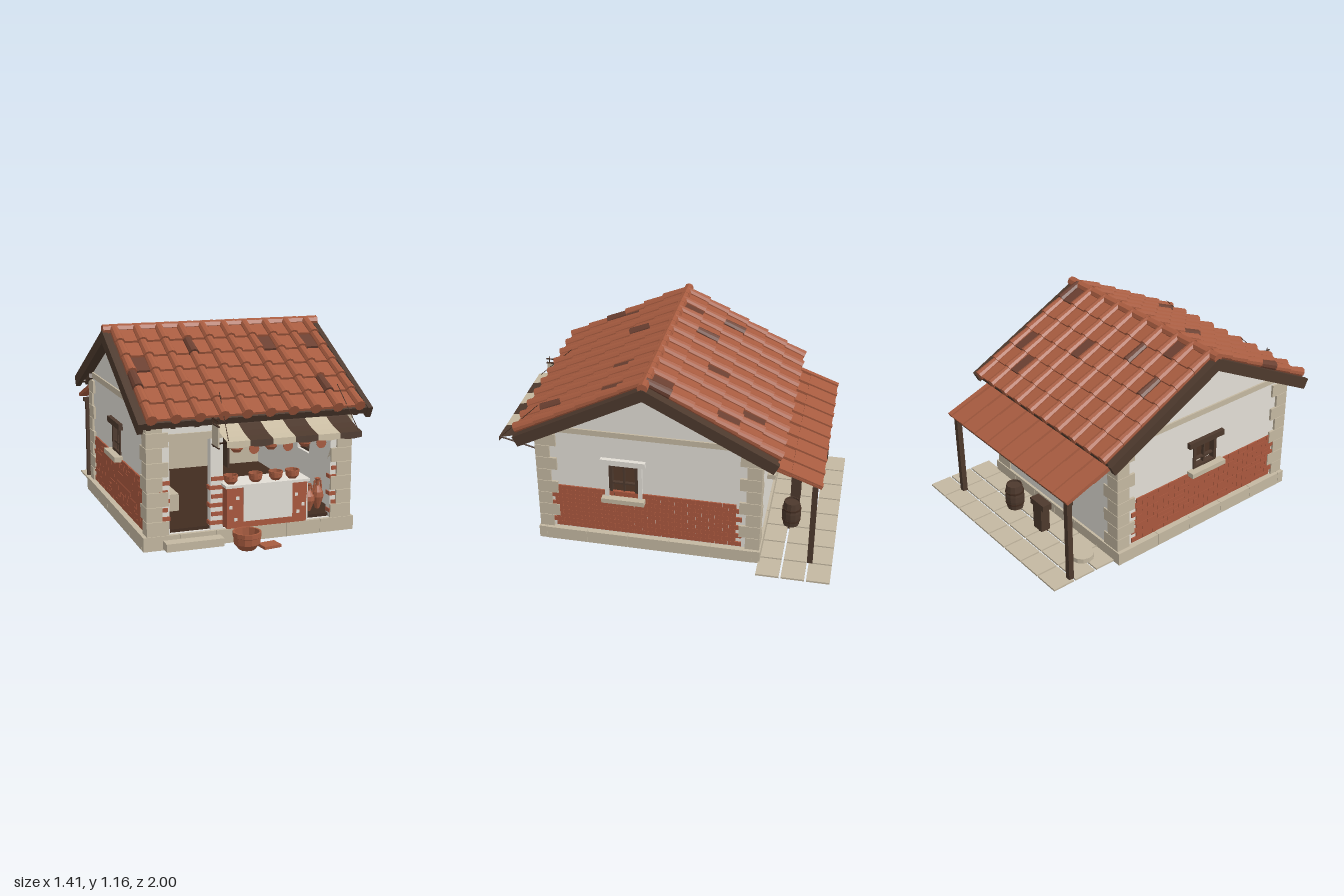
import * as THREE from 'three';

const mat = (name, color) => Object.assign(
  new THREE.MeshStandardMaterial({ color, flatShading: true, side: THREE.DoubleSide }), { name });
const M = {
  terracotta: mat('terracotta', 0xa85c40), burnt: mat('burntTile', 0x6b4031), brick: mat('brick', 0xaa583e),
  plaster: mat('plaster', 0xe2ded6), stone: mat('stone', 0xc4b8a1), wood: mat('darkWood', 0x4d392d),
  cream: mat('creamCloth', 0xcabda3), dark: mat('dark', 0x422c20),
};
const CX = -0.032, SLOPE = 0.4765;

export function createModel() {
  const root = new THREE.Group();
  root.name = 'shopHouse';
  const part = (name) => { const g = new THREE.Group(); g.name = name; root.add(g); return g; };
  const add = (g, name, geo, m, x = 0, y = 0, z = 0) => {
    const o = new THREE.Mesh(geo, m);
    o.name = name; o.position.set(x, y, z); g.add(o);
    return o;
  };
  // box given by its ranges
  const box = (g, name, m, x0, x1, y0, y1, z0, z1) => add(g, name,
    new THREE.BoxGeometry(x1 - x0, y1 - y0, z1 - z0), m, (x0 + x1) / 2, (y0 + y1) / 2, (z0 + z1) / 2);
  const rod = (g, name, m, a, b, r) => {
    const p = new THREE.Vector3(...a), d = new THREE.Vector3(...b).sub(p);
    const o = add(g, name, new THREE.CylinderGeometry(r, r, d.length(), 6), m);
    o.position.copy(p).addScaledVector(d, 0.5);
    o.quaternion.setFromUnitVectors(new THREE.Vector3(0, 1, 0), d.normalize());
  };
  const lathe = (g, name, m, pts, r, h, x, y, z) => add(g, name,
    new THREE.LatheGeometry(pts.map(([a, b]) => new THREE.Vector2(a * r, b * h)), 12), m, x, y, z);
  const BOWL = [[0, 0], [0.55, 0], [0.92, 0.35], [0.95, 0.72], [1, 0.75], [1, 1], [0.86, 1], [0.8, 0.4], [0, 0.2]];
  const bowl = (g, x, y, z, r, h, m = M.terracotta) => lathe(g, 'bowl', m, BOWL, r, h, x, y, z);
  // outline with rectangular holes [u0, u1, y0, y1]
  const panel = (pts, holes, depth) => {
    const s = new THREE.Shape(pts.map(p => new THREE.Vector2(...p)));
    for (const [a, b, c, d] of holes)
      s.holes.push(new THREE.Path([[a, c], [a, d], [b, d], [b, c]].map(p => new THREE.Vector2(...p))));
    return new THREE.ExtrudeGeometry(s, { depth, bevelEnabled: false });
  };

  // foundation: raised dark floor inside a ring of stone blocks
  const base = part('foundation');
  box(base, 'floor', M.dark, -0.615, 0.55, 0.07, 0.1, -0.535, 0.72);
  for (let i = 0; i < 6; i++) {
    const x = -0.66 + i * 0.2092;
    for (const [a, b] of [[0.715, 0.76], [-0.58, -0.535]]) box(base, 'block', M.stone, x, x + 0.207, 0, 0.08, a, b);
  }
  for (let i = 0; i < 5; i++) {
    const z = -0.535 + i * 0.25;
    for (const [a, b] of [[-0.66, -0.615], [0.55, 0.595]]) box(base, 'block', M.stone, a, b, 0, 0.08, z, z + 0.248);
  }
  box(base, 'doorStep', M.stone, -0.55, -0.22, 0.01, 0.055, 0.755, 0.83);

  // walls
  const walls = part('walls');
  const rect = [[-0.625, 0.075], [0.561, 0.075], [0.561, 0.75], [-0.625, 0.75]];
  const backWindow = [0.04, 0.19, 0.385, 0.53];
  add(walls, 'frontWall', panel(rect, [[-0.505, -0.27, 0.082, 0.6], [-0.197, 0.45, 0.082, 0.6]], 0.05), M.plaster, 0, 0, 0.69);
  add(walls, 'backWall', panel(rect, [backWindow], 0.05), M.plaster, 0, 0, -0.565);
  add(walls, 'backLining', panel([[-0.57, 0.09], [0.51, 0.09], [0.51, 0.74], [-0.57, 0.74]], [backWindow], 0.005), M.stone, 0, 0, -0.514);
  const gable = [[-0.74, 0.075], [0.565, 0.075], [0.565, 0.747], [-0.095, 1.085], [-0.74, 0.752]];
  for (const [name, x, hole] of [['leftWall', 0.511, [-0.32, -0.145, 0.35, 0.57]], ['rightWall', -0.625, [-0.18, 0, 0.4, 0.56]]])
    add(walls, name, panel(gable, [hole], 0.05), M.plaster, x).rotation.y = Math.PI / 2;
  box(walls, 'doorLintel', M.stone, -0.56, -0.265, 0.6, 0.64, 0.73, 0.75);
  box(walls, 'shopLintel', M.stone, -0.265, 0.5, 0.6, 0.645, 0.73, 0.75);

  // alternating corner stones, exposed brick and gable bands
  const quoins = part('cornerStones'), bricks = part('brickwork');
  for (const s of [-1, 1]) {
    for (const f of [-1, 1]) for (let i = 0; i < 8; i++) {
      const lx = i % 2 ? 0.09 : 0.125, lz = i % 2 ? 0.125 : 0.085;
      const x = CX + s * 0.607, z = f > 0 ? 0.755 : -0.573, y = 0.08 + i * 0.082;
      const [x0, x1] = [x, x - s * lx].sort((a, b) => a - b), [z0, z1] = [z, z - f * lz].sort((a, b) => a - b);
      // an L of two slabs keeps the interior clear
      box(quoins, 'cornerStone', M.stone, x0, x1, y, y + 0.079, f > 0 ? 0.69 : z0, f > 0 ? z1 : -0.515);
      box(quoins, 'cornerStone', M.stone, s > 0 ? 0.512 : x0, s > 0 ? x1 : -0.576, y, y + 0.079, z0, z1);
    }
    const x = CX + s * 0.593;
    box(walls, 'gableBand', M.stone, x - 0.01, x + 0.01, 0.75, 0.785, -0.49, 0.68);
    for (let r = 0; r < 10; r++) for (let i = 0; i < 14; i++) {
      const z = -0.465 + i * 0.08 + (r % 2) * 0.035, y = 0.09 + r * 0.0292;
      box(bricks, 'brick', M.brick, x - 0.009, x + 0.009, y, y + 0.0285, z, z + 0.0775);
    }
  }
  for (const [x, w] of [[-0.535, 0.05], [-0.235, 0.075], [0.475, 0.05]]) for (let r = 0; r < 6; r++) {
    const d = (r % 2) * 0.012;
    box(bricks, 'jambBrick', M.brick, x - w / 2 + d - 0.006, x + w / 2 + d - 0.006, 0.11 + r * 0.05, 0.132 + r * 0.05, 0.7, 0.748);
  }

  // windows: built facing +z, then turned to their wall
  const windowAt = (name, x, y, z, turn, w, h, lintel) => {
    const g = part(name);
    g.position.set(x, y, z); g.rotation.y = turn;
    const a = w / 2, b = h / 2;
    box(g, 'sill', M.stone, -a - 0.04, a + 0.04, -b - 0.03, -b, -0.03, 0.05);
    box(g, 'lintel', lintel, -a - 0.045, a + 0.045, b, b + 0.035, -0.02, 0.025);
    for (const s of [-1, 1]) {
      if (lintel === M.plaster) box(g, 'jamb', M.plaster, s * (a + 0.012) - 0.012, s * (a + 0.012) + 0.012, -b, b, -0.02, 0.018);
      box(g, 'frame', M.wood, s * (a - 0.01) - 0.01, s * (a - 0.01) + 0.01, -b, b, -0.03, 0.008);
      box(g, 'rail', M.wood, -a, a, s * (b - 0.008) - 0.008, s * (b - 0.008) + 0.008, -0.03, 0.008);
    }
    box(g, 'mullion', M.wood, -0.005, 0.005, -b, b, -0.02, 0);
    box(g, 'crossbar', M.wood, -a, a, -0.03, -0.02, -0.02, 0);
  };
  windowAt('leftWindow', 0.561, 0.46, 0.2325, Math.PI / 2, 0.175, 0.22, M.plaster);
  windowAt('rightWindow', -0.625, 0.48, 0.09, -Math.PI / 2, 0.18, 0.16, M.wood);
  windowAt('backWindow', 0.115, 0.4575, -0.565, Math.PI, 0.15, 0.145, M.wood);

  // tiled roof: each slope is laid flat along +z and tipped down from the ridge
  const burnt = new Set(['pan1,6,1', 'pan1,8,1', 'pan1,0,2', 'cover1,0,3', 'cover1,3,1', 'cover1,8,4', 'pan-1,7,4',
    'pan-1,8,3', 'pan-1,5,2', 'pan-1,1,0', 'pan-1,8,0', 'cover-1,3,1', 'cover-1,1,2', 'cover-1,9,0']);
  for (const s of [1, -1]) {
    const g = part(s > 0 ? 'frontRoof' : 'backRoof');
    g.position.set(0, 1.12, 0.095);
    g.rotation.set(SLOPE, s > 0 ? 0 : Math.PI, 0, 'YXZ');
    const xc = s * -0.03, tone = k => burnt.has(k) ? M.burnt : M.terracotta;
    box(g, 'deck', M.wood, xc - 0.655, xc + 0.655, -0.03, 0, 0, 0.85);
    for (const e of [-1, 1]) box(g, 'bargeBoard', M.wood, xc + e * 0.662 - 0.015, xc + e * 0.662 + 0.015, -0.06, 0.006, 0, 0.86);
    box(g, 'fascia', M.wood, xc - 0.655, xc + 0.655, -0.04, 0, 0.82, 0.85);
    for (let i = 0; i < 10; i++) {
      const x = s * (-0.637 + i * 0.1335);
      box(g, 'rafterTail', M.wood, x - 0.013, x + 0.013, -0.06, -0.03, 0.7, 0.835);
      for (let r = 0; r < 6; r++) {
        const z = 0.072 + r * 0.1415;
        const c = add(g, 'coverTile', new THREE.CylinderGeometry(0.031, 0.025, 0.157, 10), tone(`cover${s},${i},${r}`), x, 0.02, z);
        c.rotation.x = Math.PI / 2 - 0.05;
        if (i < 9) add(g, 'panTile', new THREE.BoxGeometry(0.131, 0.014, 0.15), tone(`pan${s},${i},${r}`), x + s * 0.0668, 0.015, z).rotation.x = -0.09;
      }
    }
  }
  const ridge = part('ridge');
  for (let i = 0; i < 10; i++)
    add(ridge, 'ridgeTile', new THREE.CylinderGeometry(0.031, 0.029, 0.136, 8), M.terracotta, -0.634 + i * 0.1343, 1.13, 0.092).rotation.z = -Math.PI / 2;

  // rear lean-to with posts
  const porch = part('porch');
  const shed = new THREE.Group();
  shed.name = 'porchRoof'; shed.position.set(0, 0.69, -0.555); shed.rotation.x = -0.356; porch.add(shed);
  for (let r = 0; r < 2; r++) box(shed, 'tileCourse', M.terracotta, -0.63, 0.565, -0.012 + r * 0.005, r * 0.005, -0.375 + 0.187 * (1 - r), -0.187 * r);
  for (let i = 0; i < 10; i++) box(shed, 'rib', M.terracotta, -0.63 + i * 0.129, -0.598 + i * 0.129, -0.004, 0.016, -0.377, 0);
  box(porch, 'beam', M.wood, -0.61, 0.55, 0.525, 0.55, -0.885, -0.855);
  for (const x of [-0.58, 0.53]) box(porch, 'post', M.wood, x - 0.016, x + 0.016, 0.01, 0.53, -0.886, -0.854);

  // paving and yard goods
  const yard = part('yard');
  for (let i = 0; i < 8; i++) for (let r = 0; r < 3; r++) {
    const x = -0.61 + i * 0.166, z = -1 + r * 0.147;
    box(yard, 'pavingSlab', M.stone, x, x + 0.156, 0.002, 0.013, z, z + 0.135);
  }
  lathe(yard, 'barrel', M.wood, [[0, 0], [0.82, 0], [1, 0.4], [1, 0.6], [0.82, 1], [0.74, 1], [0.74, 0.93], [0, 0.93]], 0.058, 0.178, 0.18, 0, -0.72);
  for (const y of [0.05, 0.13]) add(yard, 'barrelHoop', new THREE.CylinderGeometry(0.058, 0.058, 0.012, 12), M.dark, 0.18, y, -0.72);
  box(yard, 'blockPost', M.wood, -0.14, -0.06, 0, 0.17, -0.75, -0.69);
  box(yard, 'blockCap', M.wood, -0.165, -0.035, 0.17, 0.21, -0.75, -0.69);
  add(yard, 'millstone', new THREE.CylinderGeometry(0.07, 0.07, 0.03, 12), M.stone, -0.47, 0.028, -0.7);
  bowl(yard, -0.12, 0.01, 0.91, 0.08, 0.1);
  box(yard, 'fallenTile', M.terracotta, -0.04, 0.065, 0.008, 0.024, 0.87, 0.95).rotation.y = 0.15;

  // counter with plaster facing
  const counter = part('counter');
  box(counter, 'body', M.brick, -0.2, 0.275, 0.1, 0.33, 0.66, 0.815);
  box(counter, 'facing', M.plaster, -0.105, 0.185, 0.135, 0.33, 0.81, 0.819);
  box(counter, 'sideFacing', M.plaster, 0.27, 0.279, 0.1, 0.33, 0.66, 0.815);
  box(counter, 'top', M.plaster, -0.21, 0.288, 0.33, 0.345, 0.65, 0.825);
  for (const [x, y] of [[-0.18, 0.22], [-0.14, 0.27], [-0.15, 0.15], [0.21, 0.26], [0.25, 0.2], [0.22, 0.16]])
    box(counter, 'plasterPatch', M.plaster, x - 0.009, x + 0.009, y - 0.009, y + 0.009, 0.81, 0.818);
  for (const x of [-0.165, -0.02, 0.1, 0.2]) bowl(counter, x, 0.345, 0.775, 0.04, 0.05);

  // shelves, hanging pots and storage jars
  const shop = part('shopGoods');
  for (const x of [-0.185, 0.26]) box(shop, 'shelfUpright', M.wood, x - 0.008, x + 0.008, 0.1, 0.53, -0.5, -0.41);
  for (const y of [0.37, 0.505]) {
    box(shop, 'shelf', M.wood, -0.19, 0.265, y, y + 0.012, -0.5, -0.41);
    for (const x of [-0.125, 0.02, 0.195]) bowl(shop, x, y + 0.012, -0.455, 0.027, 0.035);
  }
  rod(shop, 'hangingRail', M.wood, [-0.19, 0.605, 0.77], [0.44, 0.605, 0.77], 0.006);
  for (let i = 0; i < 6; i++) {
    const x = -0.13 + i * 0.101;
    if (i % 2) {
      add(shop, 'hangingPan', new THREE.CylinderGeometry(0.03, 0.026, 0.014, 12), M.terracotta, x, 0.53, 0.77).rotation.x = Math.PI / 2;
      rod(shop, 'hook', M.dark, [x, 0.55, 0.77], [x, 0.605, 0.77], 0.003);
    } else {
      bowl(shop, x, 0.52, 0.77, 0.037, 0.05);
      for (const s of [-1, 1]) rod(shop, 'cord', M.dark, [x + s * 0.034, 0.565, 0.77], [x, 0.605, 0.77], 0.002);
    }
  }
  const JAR = [[0, 0], [0.35, 0.03], [1, 0.42], [0.9, 0.58], [0.35, 0.78], [0.35, 0.93], [0.5, 1], [0, 0.98]];
  for (const [x, z, h] of [[0.355, 0.66, 0.165], [0.425, 0.63, 0.185]]) {
    lathe(shop, 'jar', M.terracotta, JAR, 0.036, h, x, 0.1, z);
    for (const s of [-1, 1]) rod(shop, 'jarHandle', M.terracotta, [x + s * 0.025, 0.1 + h * 0.65, z], [x + s * 0.018, 0.1 + h * 0.93, z], 0.005);
  }
  box(shop, 'hearth', M.stone, -0.48, -0.345, 0.1, 0.2, 0.2, 0.4);
  bowl(shop, -0.44, 0.2, 0.3, 0.046, 0.065, M.wood);

  // striped awning with a shallow scalloped drop, stays and chains
  const awning = part('awning');
  for (let i = 0; i < 6; i++) {
    const geo = new THREE.PlaneGeometry(1, 1, 6, 5), p = geo.attributes.position;
    for (let k = 0; k < p.count; k++) {
      const u = p.getX(k) + 0.5, v = Math.min(1, (0.5 - p.getY(k)) * 1.25), drop = p.getY(k) < -0.45;
      p.setXYZ(k, -0.268 + (i + u) * 0.13, 0.715 - 0.08 * v - 0.012 * Math.sin(Math.PI * v)
        - (drop ? 0.03 + 0.007 * Math.sin(Math.PI * u) : 0), 0.765 + 0.23 * v + (drop ? 0.002 : 0));
    }
    geo.computeVertexNormals();
    add(awning, 'stripe', geo, i % 2 ? M.wood : M.cream);
  }
  for (const [x, xt] of [[-0.255, -0.225], [0.5, 0.475]]) {
    rod(awning, 'stay', M.dark, [x, 0.57, 0.75], [x, 0.63, 0.99], 0.005);
    rod(awning, 'chain', M.dark, [x, 0.632, 0.985], [xt, 0.855, 0.755], 0.002);
    box(awning, 'wallPlate', M.dark, x - 0.007, x + 0.007, 0.555, 0.62, 0.75, 0.765);
  }
  rod(awning, 'frontBar', M.wood, [-0.268, 0.63, 0.99], [0.512, 0.63, 0.99], 0.005);

  // blank hanging sign
  const sign = part('hangingSign');
  box(sign, 'board', M.stone, -0.299, -0.291, 0.59, 0.705, 0.845, 0.945);
  for (const y of [0.588, 0.703]) box(sign, 'boardFrame', M.wood, -0.3, -0.29, y, y + 0.007, 0.84, 0.95);
  rod(sign, 'arm', M.dark, [-0.295, 0.735, 0.75], [-0.295, 0.735, 0.95], 0.005);
  for (const z of [0.86, 0.93]) rod(sign, 'link', M.dark, [-0.295, 0.7, z], [-0.295, 0.755, z], 0.003);
  return root;
}
